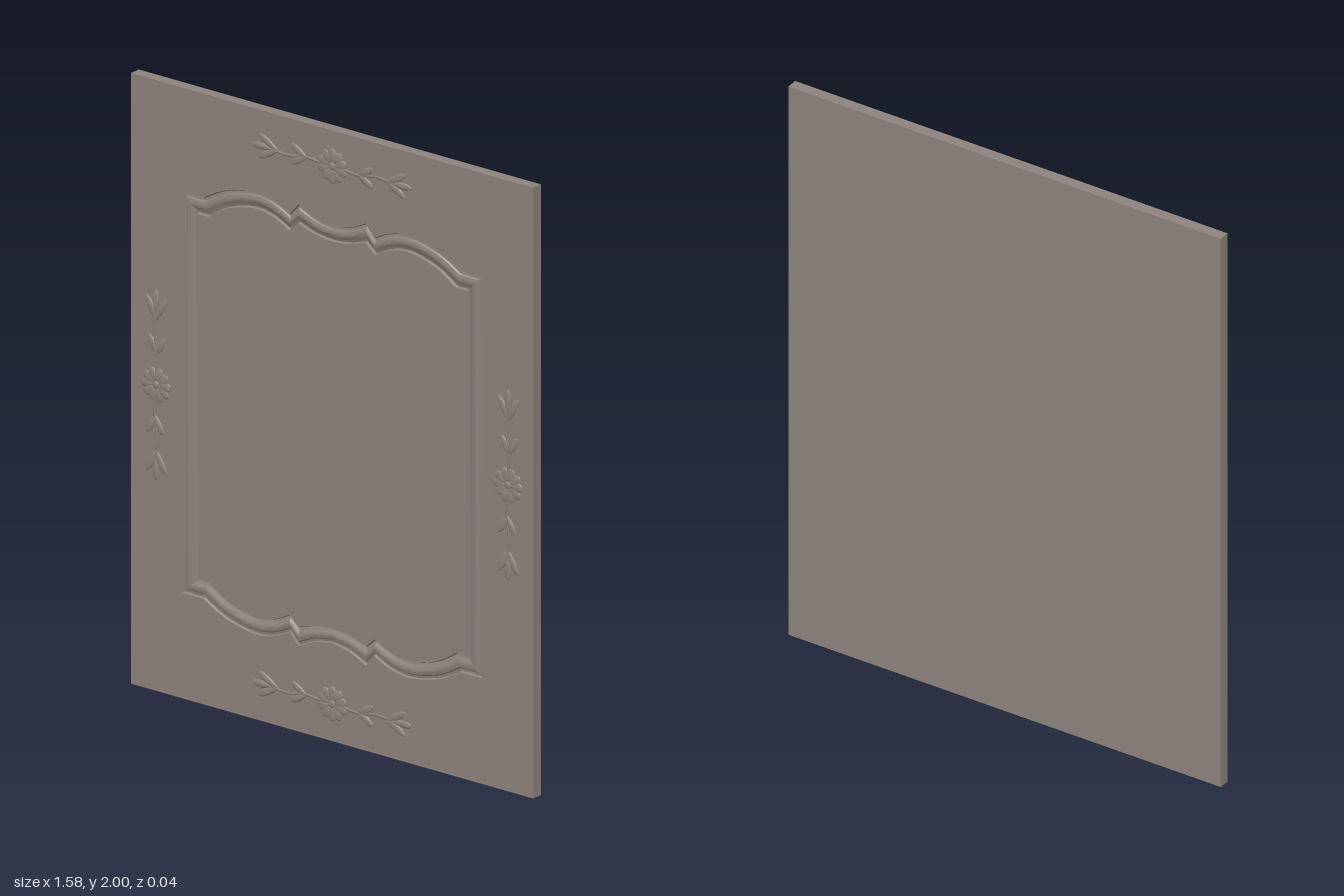
import * as THREE from 'three';
import { toCreasedNormals } from 'three/addons/utils/BufferGeometryUtils.js';

const W = 1.576, BACK = -0.022, FRONT = 0.016, BED = 0.004, MID = 1.0025;
const V = (x, y) => new THREE.Vector2(x, y);

// Closed counter-clockwise outline, made from one quarter: corner, shoulder, arch, cusp, centre sag
function outline(corner, step, arch, notch, cusp, sag) {
  const quarter = [
    V(...corner),
    ...new THREE.SplineCurve([V(...step), ...arch.map(p => V(...p)), V(...notch)]).getPoints(20),
    ...new THREE.SplineCurve([V(...cusp), V(cusp[0] / 2, sag + (cusp[1] - sag) * 0.28), V(0, sag)]).getPoints(8),
  ];
  const top = [...quarter, ...quarter.slice(0, -1).reverse().map(p => V(-p.x, p.y))];
  return [...top, ...top.map(p => V(-p.x, -p.y))].map(p => V(p.x, p.y + MID));
}

// Carved moulding: a cross-section swept between the outer and inner outlines
function mouldingGeometry(outer, inner) {
  const section = [[0, FRONT], [0.06, 0.008], [0.2, 0.009], [0.26, 0.0135], [0.4, 0.0165],
    [0.55, 0.0165], [0.7, 0.013], [0.8, 0.009], [0.94, 0.007], [1, FRONT]];
  const n = outer.length, pos = [], index = [];
  for (const [t, z] of section)
    outer.forEach((p, i) => pos.push(p.x + (inner[i].x - p.x) * t, p.y + (inner[i].y - p.y) * t, z));
  for (let r = 0; r < section.length - 1; r++)
    for (let i = 0; i < n; i++) {
      const j = (i + 1) % n, a = r * n + i, b = r * n + j;
      index.push(a, b, b + n, a, b + n, a + n);
    }
  const g = new THREE.BufferGeometry();
  g.setAttribute('position', new THREE.Float32BufferAttribute(pos, 3));
  g.setIndex(index);
  return toCreasedNormals(g, 0.45);
}

// Half-domed leaf along +x from its root at 0, wide past the middle and pointed at the tip
function leafGeometry(length, width, height, bend = 0) {
  const g = new THREE.SphereGeometry(1, 10, 12, 0, Math.PI).rotateZ(-Math.PI / 2);
  const p = g.attributes.position;
  for (let i = 0; i < p.count; i++) {
    const u = (p.getX(i) + 1) / 2;
    const w = 0.55 + 0.75 * u - 0.45 * u * u;
    p.setXYZ(i, u * length, p.getY(i) * width / 2 * w * 1.2 + bend * u * u, p.getZ(i) * height);
  }
  g.computeVertexNormals();
  return g;
}

export function createModel() {
  const model = new THREE.Group();
  const paint = new THREE.MeshStandardMaterial({ color: 0x8c827d });
  paint.name = 'taupe paint';
  const add = (parent, name, geometry, x = 0, y = 0, z = 0, turn = 0) => {
    const m = new THREE.Mesh(geometry, paint);
    m.name = name;
    m.position.set(x, y, z);
    m.rotation.z = turn;
    parent.add(m);
    return m;
  };

  // Slab with a raised border and a raised field, the moulding lying between them
  const outer = outline([0.587, 0.657], [0.505, 0.657], [[0.42, 0.7], [0.31, 0.724], [0.23, 0.714]],
    [0.165, 0.685], [0.132, 0.724], 0.683);
  const inner = outline([0.527, 0.598], [0.485, 0.598], [[0.41, 0.643], [0.31, 0.669], [0.235, 0.66]],
    [0.168, 0.629], [0.132, 0.66], 0.633);
  add(model, 'backSlab', new THREE.BoxGeometry(W, 2, BED - BACK), 0, 1, (BED + BACK) / 2);
  const border = new THREE.Shape([V(-W / 2, 0), V(W / 2, 0), V(W / 2, 2), V(-W / 2, 2)]);
  border.holes.push(new THREE.Path(outer));
  const layer = { depth: FRONT - BED, bevelEnabled: false };
  add(model, 'border', new THREE.ExtrudeGeometry(border, layer), 0, 0, BED);
  add(model, 'centreField', new THREE.ExtrudeGeometry(new THREE.Shape(inner), layer), 0, 0, BED);
  add(model, 'moulding', mouldingGeometry(outer, inner));

  // Shared ornament pieces
  const petal = leafGeometry(0.048, 0.033, 0.005);
  const bud = new THREE.SphereGeometry(0.014, 14, 8).scale(1, 1, 0.43);
  const stem = new THREE.TubeGeometry(new THREE.CatmullRomCurve3([
    new THREE.Vector3(0.04, 0, 0), new THREE.Vector3(0.1, -0.006, 0),
    new THREE.Vector3(0.17, 0.005, 0), new THREE.Vector3(0.25, 0, 0),
  ]), 16, 0.005, 6).scale(1, 1, 0.8);
  const tipLeaf = leafGeometry(0.075, 0.024, 0.006);
  const sideLeaf = leafGeometry(0.085, 0.025, 0.005, 0.008);
  const smallLeaf = leafGeometry(0.068, 0.024, 0.005, 0.006);
  const mirrored = g => {
    const m = g.clone().scale(1, -1, 1), a = m.index.array;
    for (let i = 0; i < a.length; i += 3) [a[i], a[i + 1]] = [a[i + 1], a[i]];
    return m;
  };
  const sideLeafB = mirrored(sideLeaf), smallLeafB = mirrored(smallLeaf);

  // Rosette with two leafy sprays
  function ornament(name, x, y, turn) {
    const o = new THREE.Group();
    o.name = name;
    for (let i = 0; i < 10; i++) {
      const a = (i + 0.5) * Math.PI / 5;
      add(o, 'petal', petal, 0.01 * Math.cos(a), 0.01 * Math.sin(a), 0, a);
    }
    add(o, 'rosetteCentre', bud);
    for (const half of [0, Math.PI]) {
      const spray = new THREE.Group();
      spray.name = 'spray';
      spray.rotation.z = half;
      add(spray, 'stem', stem);
      add(spray, 'smallLeaf', smallLeaf, 0.1, -0.004, 0, 0.4);
      add(spray, 'smallLeaf', smallLeafB, 0.1, -0.004, 0, -0.4);
      add(spray, 'tipLeaf', tipLeaf, 0.237, 0, 0, 0);
      add(spray, 'sideLeaf', sideLeaf, 0.212, 0, 0, 0.38);
      add(spray, 'sideLeaf', sideLeafB, 0.212, 0, 0, -0.38);
      o.add(spray);
    }
    o.position.set(x, y, FRONT);
    o.rotation.z = turn;
    model.add(o);
  }
  ornament('topOrnament', 0, 1.883, 0);
  ornament('bottomOrnament', 0, 0.122, 0);
  ornament('leftOrnament', 0.69, MID, Math.PI / 2);
  ornament('rightOrnament', -0.69, MID, Math.PI / 2);
  return model;
}
